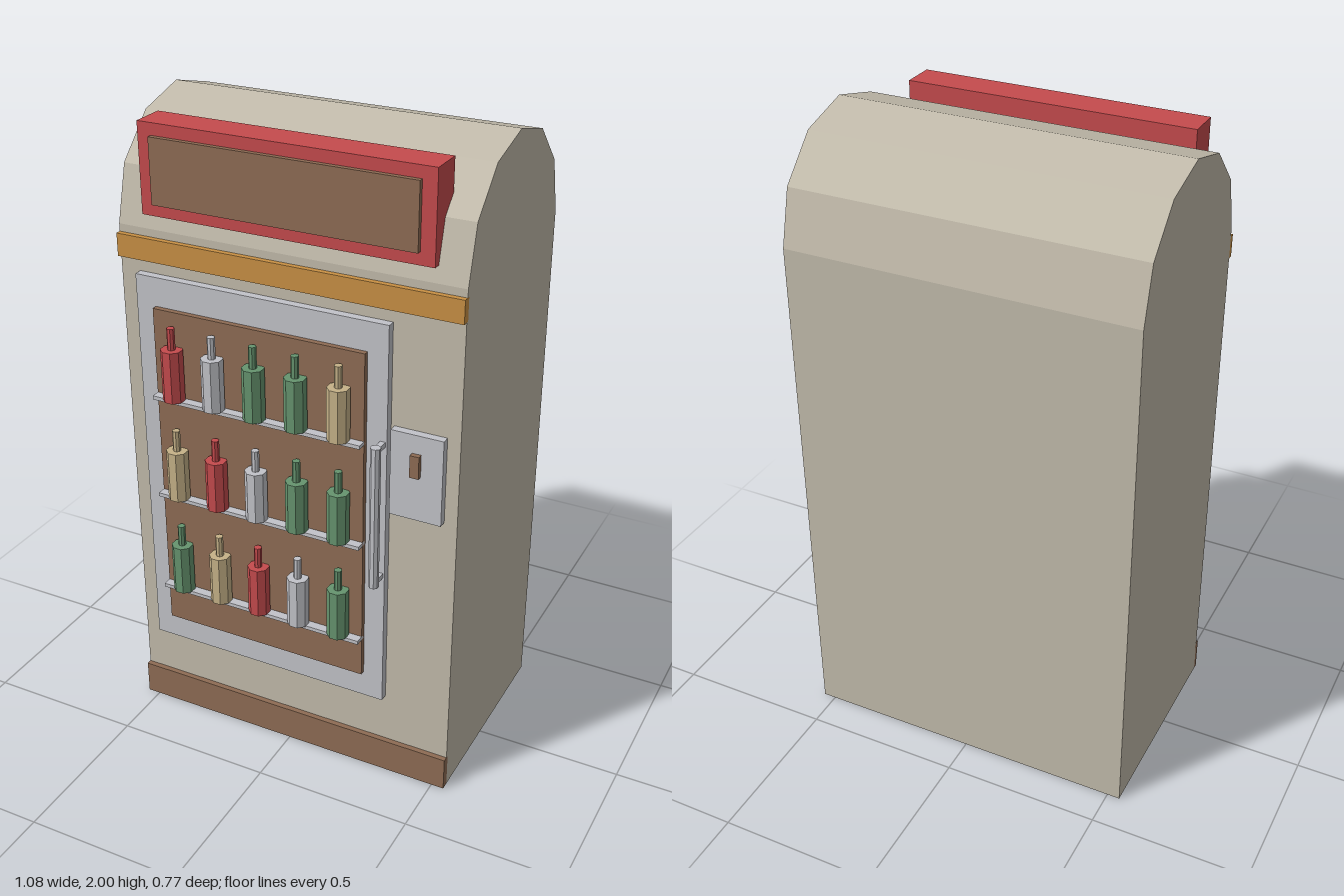
import * as THREE from 'three';

const mat = (name, color) => {
  const m = new THREE.MeshStandardMaterial({ color });
  m.name = name;
  return m;
};

export function createModel() {
  const model = new THREE.Group();
  model.name = 'vendingMachine';
  const cream = mat('cream', 0xc2bbab);
  const brown = mat('brown', 0x8e6c54);
  const red = mat('red', 0xc54b4d);
  const orange = mat('orange', 0xc89044);
  const silver = mat('silver', 0xc2c3c9);
  const green = mat('green', 0x66946f);
  const tan = mat('tan', 0xc6b288);

  const add = (name, geometry, material, parent = model) => {
    const mesh = new THREE.Mesh(geometry, material);
    mesh.name = name;
    parent.add(mesh);
    return mesh;
  };
  // Box given by its limits on each axis
  const box = (name, material, [x0, x1], [y0, y1], [z0, z1], parent) => {
    const g = new THREE.BoxGeometry(x1 - x0, y1 - y0, z1 - z0);
    g.translate((x0 + x1) / 2, (y0 + y1) / 2, (z0 + z1) / 2);
    return add(name, g, material, parent);
  };
  // Eight-sided cylinder with a flat side to the front
  const post = (name, material, r, h, x, y, z, parent) => {
    const g = new THREE.CylinderGeometry(r, r, h, 8).toNonIndexed();
    g.rotateY(Math.PI / 8);
    g.computeVertexNormals();
    g.translate(x, y + h / 2, z);
    return add(name, g, material, parent);
  };

  // Cabinet: arched side profile extruded across the width
  const W = 0.54, R = 0.336, ZC = -0.047, SPRING = 1.664;
  const profile = new THREE.Shape();
  profile.moveTo(ZC - R, 0);
  profile.lineTo(ZC + R, 0);
  for (let i = 0; i <= 6; i++) {
    const a = (i / 6) * Math.PI;
    profile.lineTo(ZC + R * Math.cos(a), SPRING + R * Math.sin(a));
  }
  profile.closePath();
  const cabinet = new THREE.ExtrudeGeometry(profile, { depth: 2 * W, bevelEnabled: false });
  cabinet.rotateY(-Math.PI / 2); // profile x becomes z
  cabinet.translate(W, 0, 0);
  add('cabinet', cabinet, cream);

  // Trim strips and sign
  box('kickPlate', brown, [-W, W], [0, 0.11], [0.28, 0.306]);
  box('trimStrip', orange, [-W, W], [1.57, 1.64], [0.28, 0.306]);
  box('signFrame', red, [-0.45, 0.45], [1.71, 1.98], [0.193, 0.3]);
  box('signPanel', brown, [-0.407, 0.407], [1.748, 1.944], [0.29, 0.315]);

  // Door with display panel
  box('doorFrame', silver, [-0.477, 0.33], [0.275, 1.53], [0.28, 0.315]);
  box('displayPanel', brown, [-0.413, 0.267], [0.363, 1.44], [0.3, 0.332]);

  // Shelves and their bottles
  const rows = [
    [1.17, [red, silver, green, green, tan]],
    [0.837, [tan, red, silver, green, green]],
    [0.504, [green, tan, red, silver, green]],
  ];
  for (const [y, colors] of rows) {
    box('shelf', silver, [-0.413, 0.267], [y - 0.012, y], [0.32, 0.36]);
    colors.forEach((color, i) => {
      const bottle = new THREE.Group();
      bottle.name = 'bottle';
      model.add(bottle);
      const x = -0.343 + i * 0.135;
      post('bottleBody', color, 0.0335, 0.163, x, y, 0.352, bottle);
      post('bottleNeck', color, 0.012, 0.067, x, y + 0.163, 0.352, bottle);
    });
  }

  // Door handle on two brackets
  post('handleBar', silver, 0.0155, 0.46, 0.317, 0.718, 0.361);
  for (const y of [0.73, 1.166])
    box('handleBracket', silver, [0.309, 0.325], [y - 0.008, y + 0.008], [0.31, 0.361]);

  // Coin plate
  box('coinPlate', silver, [0.34, 0.5], [0.947, 1.218], [0.28, 0.314]);
  box('coinSlot', brown, [0.406, 0.434], [1.09, 1.16], [0.3, 0.33]);

  return model;
}
